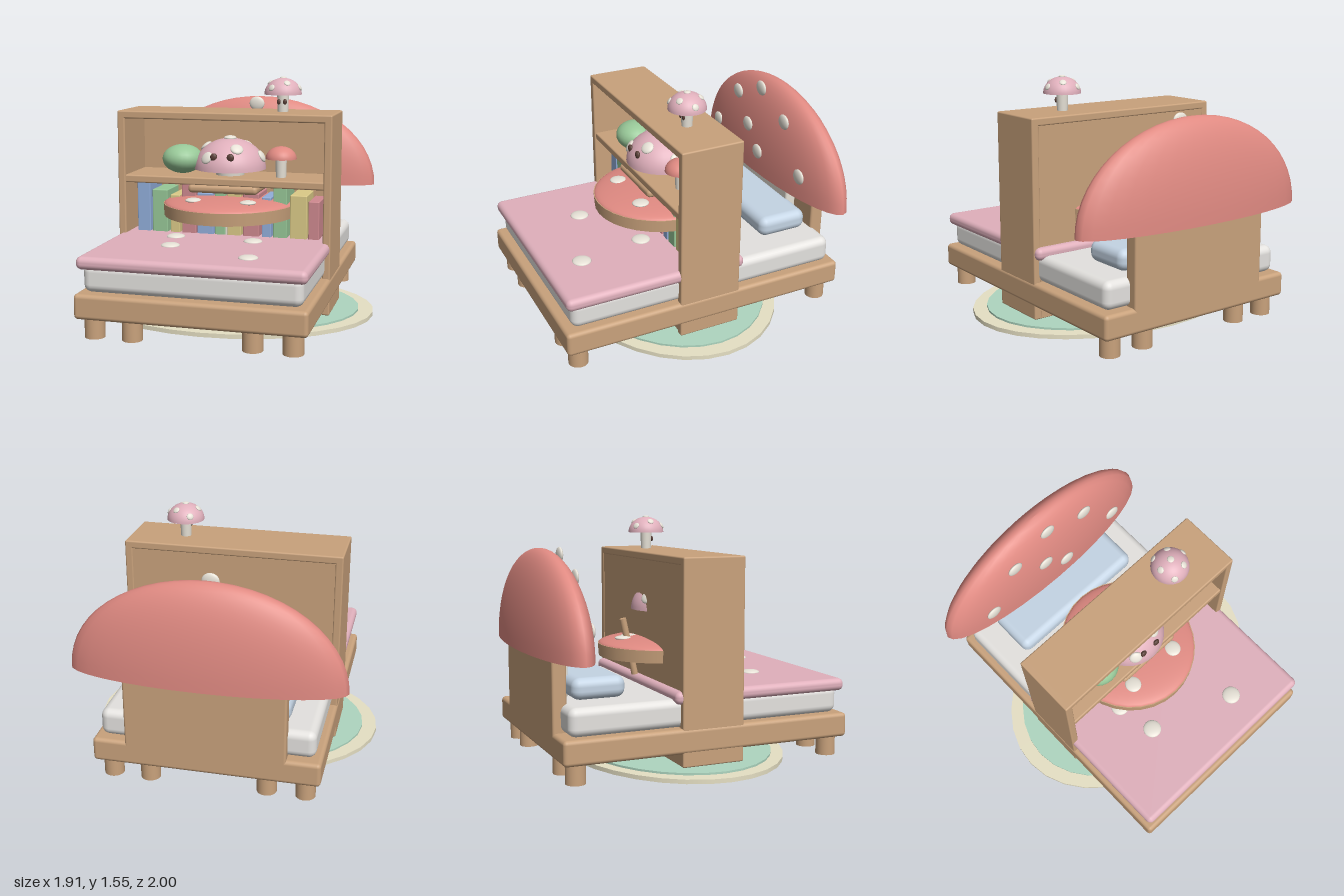
import * as THREE from 'three';
import { RoundedBoxGeometry } from 'three/addons/geometries/RoundedBoxGeometry.js';

const WOOD = 0xc9a27c, RED = 0xe08a82, PINK = 0xe0b0bc, CREAM = 0xe6e1d6, SHEET = 0xe4e2df,
  GREEN = 0x98c898, BLUE = 0x92aedb, YELLOW = 0xdccb88, ROSE = 0xd08a90, MINT = 0xaed6c0,
  SKY = 0xc4d4e4, LILAC = 0x9a88b0, DARK = 0x5a4038, RUG = 0xe6e0c4;

const materials = {};
const mat = (color) => (materials[color] ??= new THREE.MeshStandardMaterial({ color, side: THREE.DoubleSide }));

export function createModel() {
  const root = new THREE.Group();

  function add(name, geometry, color, x, y, z, parent = root) {
    const mesh = new THREE.Mesh(geometry, mat(color));
    mesh.name = name;
    mesh.position.set(x, y, z);
    parent.add(mesh);
    return mesh;
  }
  // Rounded box given by its extents
  function block(name, color, x0, x1, y0, y1, z0, z1, r = 0.015, parent = root) {
    const geometry = new RoundedBoxGeometry(x1 - x0, y1 - y0, z1 - z0, 3, r);
    return add(name, geometry, color, (x0 + x1) / 2, (y0 + y1) / 2, (z0 + z1) / 2, parent);
  }
  function ball(name, color, x, y, z, rx, ry = rx, rz = rx, parent = root) {
    const mesh = add(name, new THREE.SphereGeometry(1, 24, 16), color, x, y, z, parent);
    mesh.scale.set(rx, ry, rz);
    return mesh;
  }
  function cylinder(name, color, x, y0, y1, z, r, rBottom = r, parent = root) {
    return add(name, new THREE.CylinderGeometry(r, rBottom, y1 - y0, 32), color, x, (y0 + y1) / 2, z, parent);
  }
  // Closed half dome standing on y = 0, scaled to its radii
  function dome(name, color, x, y, z, rx, ry, rz, parent = root) {
    const profile = [new THREE.Vector2(0, 0), new THREE.Vector2(1, 0)];
    for (let i = 0; i <= 14; i++) {
      const a = (i / 14) * Math.PI / 2;
      profile.push(new THREE.Vector2(Math.cos(a), Math.sin(a)));
    }
    const mesh = add(name, new THREE.LatheGeometry(profile, 32), color, x, y, z, parent);
    mesh.scale.set(rx, ry, rz);
    return mesh;
  }
  // Mushroom with a ring of spots on its cap
  function mushroom(name, color, x, z, base, capY, capR, capH, stemR, spots, spotR) {
    const g = new THREE.Group();
    g.name = name;
    g.position.set(x, 0, z);
    root.add(g);
    cylinder('mushroomStem', CREAM, 0, base, capY + 0.01, 0, stemR, stemR * 0.9, g);
    dome('mushroomCap', color, 0, capY, 0, capR, capH, capR, g);
    if (spots) ball('capSpot', CREAM, 0, capY + capH, 0, spotR, spotR * 0.4, spotR, g);
    for (let i = 0; i < spots; i++) {
      const a = (i / spots) * Math.PI * 2, t = i % 2 ? 0.8 : 0.45;
      const c = Math.cos(t), s = Math.sin(t);
      const spot = ball('capSpot', CREAM, Math.cos(a) * c * capR, capY + s * capH, Math.sin(a) * c * capR,
        spotR, spotR * 0.4, spotR, g);
      const normal = new THREE.Vector3(Math.cos(a) * c / capR, s / capH, Math.sin(a) * c / capR).normalize();
      spot.quaternion.setFromUnitVectors(new THREE.Vector3(0, 1, 0), normal);
    }
    return g;
  }

  // Bed
  block('bedFrame', WOOD, -0.71, 0.71, 0.145, 0.30, -0.91, 1.0, 0.025);
  for (const z of [0.905, -0.81])
    for (const x of [-0.61, -0.37, 0.37, 0.61]) cylinder('bedLeg', WOOD, x, 0.02, 0.16, z, 0.062);
  block('mattress', SHEET, -0.67, 0.67, 0.30, 0.475, -0.86, 0.95, 0.05);
  block('blanket', PINK, -0.70, 0.70, 0.445, 0.525, -0.20, 0.985, 0.035);
  block('pillow', SKY, -0.5, 0.5, 0.48, 0.615, -0.78, -0.44, 0.055);
  for (const [x, z] of [[-0.25, 0.54], [0.30, 0.74], [0.22, 0.30], [-0.3, 0.28]])
    ball('blanketSpot', CREAM, x, 0.525, z, 0.06, 0.018, 0.06);

  // Mushroom headboard
  block('headboard', WOOD, -0.5, 0.5, 0.2, 0.78, -0.91, -0.82, 0.015);
  block('headboardStem', CREAM, -0.3, 0.3, 0.45, 0.78, -0.82, -0.745, 0.015);
  dome('headboardCap', RED, 0, 0.745, -0.815, 0.845, 0.62, 0.185);
  for (const [x, y, z] of [[-0.29, 1.2, -0.69], [0, 1.32, -0.695], [0.3, 1.19, -0.69],
    [0.53, 0.9, -0.675], [-0.53, 0.9, -0.675], [-0.08, 1.04, -0.65], [0.08, 0.9, -0.635]])
    ball('headboardSpot', CREAM, x, y, z, 0.055, 0.05, 0.018);

  // Bookcase
  for (const s of [-1, 1])
    block('bookcaseSide', WOOD, s * 0.68 - 0.025, s * 0.68 + 0.025, 0.06, 1.33, -0.16, 0.25, 0.01);
  block('bookcaseTop', WOOD, -0.705, 0.705, 1.28, 1.33, -0.16, 0.25, 0.01);
  block('bookcaseBack', WOOD, -0.69, 0.69, 0.06, 1.31, -0.155, -0.125, 0.005);
  for (const y of [0.085, 0.47, 0.885])
    block('bookcaseShelf', WOOD, -0.67, 0.67, y - 0.025, y + 0.025, -0.14, 0.24, 0.01);

  // Books: left edge, right edge and height
  const bookColors = [BLUE, GREEN, YELLOW, ROSE];
  const books = [[-0.61, -0.52, 0.36], [-0.505, -0.4, 0.31], [-0.38, -0.315, 0.28], [-0.3, -0.205, 0.355],
    [-0.195, -0.085, 0.3], [-0.075, -0.005, 0.33], [0.01, 0.1, 0.355], [0.115, 0.22, 0.31],
    [0.24, 0.3, 0.29], [0.315, 0.405, 0.355], [0.425, 0.535, 0.31], [0.545, 0.615, 0.275]];
  for (const base of [0.11, 0.495])
    books.forEach(([x0, x1, h], i) =>
      block('book', bookColors[i % 4], x0, x1, base, base + h - (base < 0.2 ? 0.04 : 0), -0.09, 0.15, 0.006));

  // Things on and above the shelf
  ball('greenBall', GREEN, -0.31, 1.01, 0.09, 0.135, 0.095, 0.13);
  mushroom('smallMushroom', RED, 0.35, 0.08, 0.91, 1.03, 0.1, 0.08, 0.037, 0, 0);
  mushroom('mushroomLamp', PINK, 0, 0.04, 0.87, 0.95, 0.235, 0.2, 0.1, 6, 0.042);
  for (const s of [-1, 1]) ball('lampEye', DARK, s * 0.055, 1.045, 0.24, 0.024, 0.026, 0.015);
  block('lampBase', WOOD, -0.23, 0.23, 0.81, 0.865, -0.1, 0.25, 0.025);
  mushroom('topMushroom', PINK, 0.35, 0.04, 1.33, 1.44, 0.12, 0.105, 0.038, 6, 0.022);
  for (const s of [-1, 1]) ball('mushroomEye', DARK, 0.35 + s * 0.02, 1.395, 0.075, 0.013, 0.018, 0.008);

  // Round table
  const table = new THREE.Group();
  table.name = 'table';
  table.position.z = 0.04;
  table.scale.set(0.95, 1, 1);
  root.add(table);
  cylinder('tablePedestal', CREAM, 0, 0.06, 0.66, 0, 0.1, 0.12, table);
  cylinder('tableEdge', WOOD, 0, 0.65, 0.73, 0, 0.46, 0.455, table);
  dome('tableTop', RED, 0, 0.728, 0, 0.455, 0.055, 0.455, table);
  for (const [x, z] of [[-0.19, 0.24], [0.19, 0.24], [0.08, -0.24], [0, -0.31]])
    ball('tableSpot', CREAM, x, 0.768, z, 0.055, 0.015, 0.055, table);
  const stick = cylinder('stick', WOOD, 0, 0.52, 0.9, -0.23, 0.022);
  stick.rotation.x = -0.22;

  // Low cushion of round puffs around a flat core
  cylinder('cushionCore', SKY, 0, 0.014, 0.09, 0.05, 0.42).scale.z = 0.75;
  for (let i = 0; i < 14; i++) {
    const a = (i / 14) * Math.PI * 2;
    ball('cushionPuff', LILAC, Math.cos(a) * 0.36, 0.16, 0.05 + Math.sin(a) * 0.36, 0.11, 0.095, 0.11);
  }
  for (const s of [-1, 1]) ball('cushionFoot', WOOD, s * 0.085, 0.02, 0.06, 0.02);

  // Oval rug
  cylinder('rugBorder', RUG, 0, 0.02, 0.047, 0.045, 0.955).scale.z = 0.74;
  cylinder('rugCentre', MINT, 0, 0.04, 0.06, 0.045, 0.86).scale.z = 0.74;

  return root;
}
